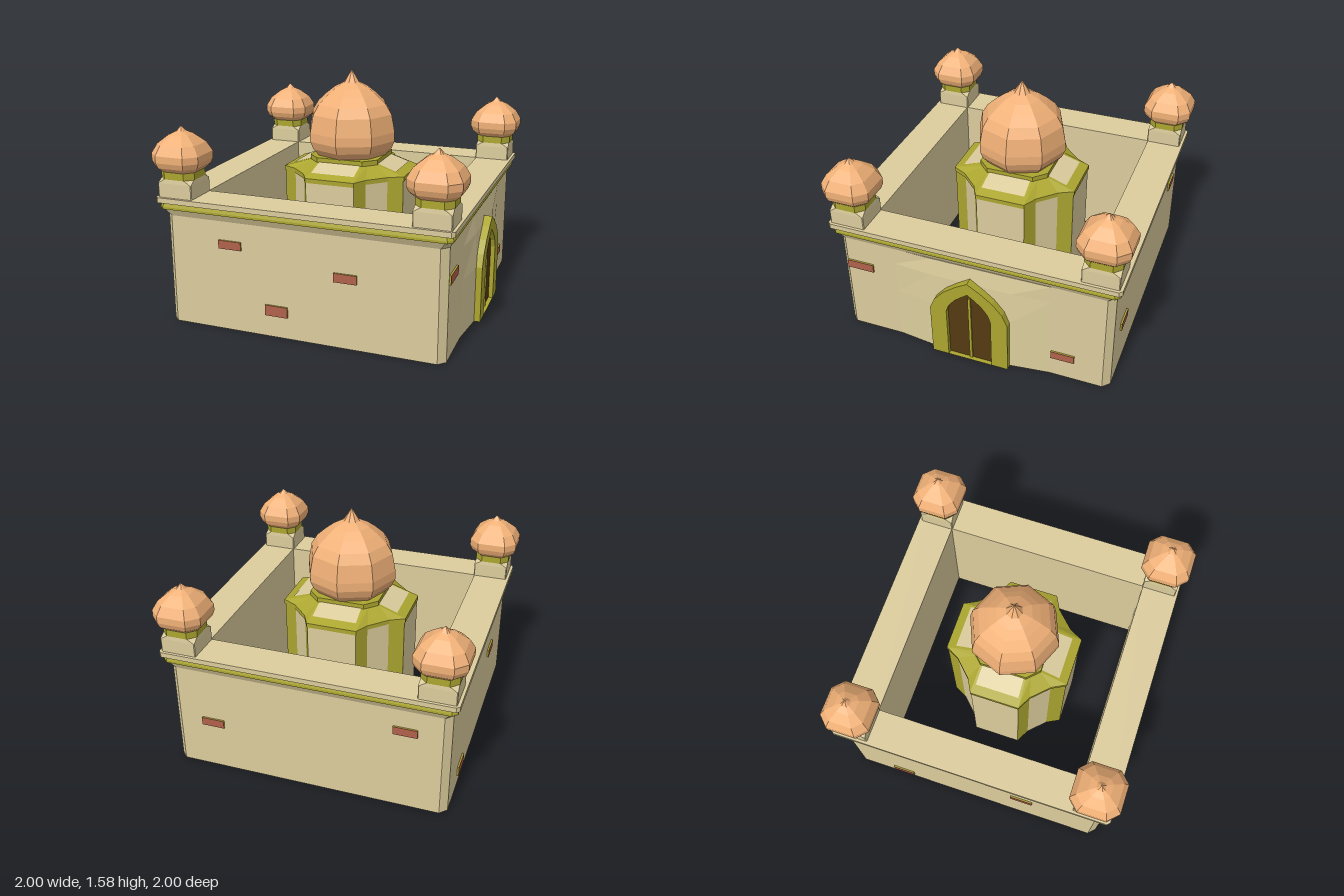
import * as THREE from 'three';

const mat = (color) => new THREE.MeshStandardMaterial({ color, flatShading: true });
const STONE = mat(0xdccd9d), GOLD = mat(0xaca630), DOME = mat(0xf0b077), RED = mat(0xb0614a), WOOD = mat(0x553a10);

// Four-fold symmetric ring: a quarter outline of [x, z] points, turned about y
function ring(quarter, y) {
  const pts = [];
  for (let q = 0; q < 4; q++) {
    for (const [px, pz] of quarter) {
      let x = px, z = pz;
      for (let k = 0; k < q; k++) [x, z] = [z, -x];
      pts.push([x, y, z]);
    }
  }
  return pts;
}

// Square ring of half-width h with its corners cut by c
const square = (h, c, y) => ring([[h - c, h], [h, h - c]], y);

// Skin between rings of equal point count; keep() picks the sides, caps close the ends
function loft(rings, { keep = () => true, top = false, bottom = false } = {}) {
  const pos = [], n = rings[0].length;
  const tri = (a, b, c) => pos.push(...a, ...b, ...c);
  for (let r = 0; r + 1 < rings.length; r++) {
    for (let i = 0; i < n; i++) {
      if (!keep(i)) continue;
      const j = (i + 1) % n, lo = rings[r], hi = rings[r + 1];
      tri(lo[i], lo[j], hi[j]);
      tri(lo[i], hi[j], hi[i]);
    }
  }
  const cap = (pts, up) => {
    const c = [0, 1, 2].map((k) => pts.reduce((s, p) => s + p[k], 0) / n);
    for (let i = 0; i < n; i++) {
      const a = pts[i], b = pts[(i + 1) % n];
      up ? tri(c, a, b) : tri(c, b, a);
    }
  };
  if (top) cap(rings[rings.length - 1], true);
  if (bottom) cap(rings[0], false);
  const g = new THREE.BufferGeometry();
  g.setAttribute('position', new THREE.Float32BufferAttribute(pos, 3));
  g.computeVertexNormals();
  return g;
}

function add(parent, name, geometry, material, x = 0, y = 0, z = 0) {
  const m = new THREE.Mesh(geometry, material);
  m.name = name;
  m.position.set(x, y, z);
  parent.add(m);
  return m;
}

function group(parent, name) {
  const g = new THREE.Group();
  g.name = name;
  parent.add(g);
  return g;
}

// Courtyard wall with flared moulding, gold band and parapet
function buildWalls(root) {
  const g = group(root, 'courtyardWall');
  add(g, 'wallOuter', loft([square(0.72, 0, 0), square(0.925, 0.045, 0),
    square(0.925, 0.045, 0.73), square(0.948, 0.035, 0.775)]), STONE);
  add(g, 'goldBand', loft([square(0.92, 0.03, 0.775), square(0.955, 0.03, 0.775),
    square(0.955, 0.03, 0.79), square(0.945, 0.03, 0.82)]), GOLD);
  add(g, 'parapetAndInnerWall', loft([square(0.93, 0.02, 0.818), square(0.97, 0.02, 0.818),
    square(0.97, 0.02, 0.852), square(0.72, 0, 0.852), square(0.72, 0, 0)]), STONE);
}

// Corner turret: square post, gold collar and bulbous cap
function buildTurret(root, x, z) {
  const g = group(root, 'cornerTurret');
  g.position.set(x, 0, z);
  add(g, 'turretPost', loft([square(0.118, 0.005, 0.85), square(0.118, 0.005, 0.945),
    square(0.115, 0.05, 0.975)], { top: true }), STONE);
  add(g, 'turretCollar', loft([square(0.118, 0.05, 0.972), square(0.118, 0.05, 1.02)], { top: true, bottom: true }), GOLD);
  const cap = [[0.12, 1.02], [0.152, 1.05], [0.165, 1.085], [0.165, 1.13], [0.132, 1.19],
    [0.07, 1.243], [0.028, 1.265], [0.004, 1.295]];
  add(g, 'turretDome', loft(cap.map(([h, y]) => square(h, h * 0.42, y)), { top: true, bottom: true }), DOME);
}

// Central cross-shaped tower with onion dome
function buildTower(root) {
  const g = group(root, 'centralTower');
  const plan = [[0.17, 0.43], [0.22, 0.335], [0.335, 0.22], [0.43, 0.17]];
  const neck = [[0.16, 0.24], [0.187, 0.213], [0.213, 0.187], [0.24, 0.16]];
  const inset = plan.map(([x, z]) => [x * 0.985, z * 0.985]);
  const isStrip = (i) => i % 4 === 0 || i % 4 === 2;
  const body = [ring(inset, 0), ring(inset, 0.885)];
  add(g, 'towerWalls', loft(body, { keep: (i) => !isStrip(i), bottom: true }), STONE);
  add(g, 'towerCornerStrips', loft(body, { keep: isStrip }), GOLD);
  add(g, 'towerCornice', loft([ring(inset, 0.88), ring(plan, 0.88), ring(plan, 0.91), ring(neck, 0.972)]), GOLD);

  // Pale panels lying on the roof slope of each arm
  const panelLow = ring([[-0.15, 0.368], [0.15, 0.368]], 0.934);
  const panelHigh = ring([[-0.145, 0.235], [0.145, 0.235]], 0.978);
  add(g, 'roofPanels', loft([panelLow, panelHigh], { keep: (i) => i % 2 === 0 }), STONE);

  add(g, 'domeCollar', loft([square(0.24, 0.08, 0.965), square(0.24, 0.08, 1.005)], { top: true }), GOLD);
  const profile = [[0, 1.0], [0.24, 1.0], [0.285, 1.05], [0.308, 1.105], [0.308, 1.165], [0.285, 1.285],
    [0.245, 1.35], [0.18, 1.41], [0.122, 1.455], [0.055, 1.49], [0.03, 1.53], [0, 1.575]];
  add(g, 'onionDome', new THREE.LatheGeometry(profile.map(([r, y]) => new THREE.Vector2(r, y)), 8), DOME);
}

// Pointed arch outline standing on the ground
function arch(Type, w, spring, tip) {
  const s = new Type();
  s.moveTo(-w, 0);
  s.lineTo(w, 0);
  s.lineTo(w, spring);
  const rise = [[0.87, 0.3], [0.62, 0.58], [0.3, 0.82]];
  const at = ([a, b]) => [w * a, spring + (tip - spring) * b];
  for (const p of rise) s.lineTo(...at(p));
  s.lineTo(0, tip);
  for (const p of [...rise].reverse()) { const [x, y] = at(p); s.lineTo(-x, y); }
  s.lineTo(-w, spring);
  s.closePath();
  return s;
}

// Gateway in the left wall
function buildGate(root) {
  const g = group(root, 'gateway');
  const pier = (y, x) => [[0.9, y, 0.56], [0.925, y, 0.53], [x, y, 0.27], [x, y, -0.27], [0.925, y, -0.53], [0.9, y, -0.56]];
  add(g, 'gatePier', loft([pier(0, 0.955), pier(0.38, 0.955), pier(0.61, 0.945), pier(0.73, 0.928)],
    { top: true, bottom: true }), STONE);
  const slab = (shape, depth) => new THREE.ExtrudeGeometry(shape, { depth, bevelEnabled: false }).rotateY(Math.PI / 2);
  const frame = arch(THREE.Shape, 0.265, 0.38, 0.65);
  frame.holes.push(arch(THREE.Path, 0.152, 0.38, 0.56));
  add(g, 'gateFrame', slab(frame, 0.068), GOLD, 0.927);
  add(g, 'gateDoors', slab(arch(THREE.Shape, 0.155, 0.38, 0.562), 0.035), WOOD, 0.93);
  add(g, 'doorSeam', new THREE.BoxGeometry(0.012, 0.51, 0.018), GOLD, 0.968, 0.255, 0);
}

// Exposed bricks: [turn about y, offset along the wall, height, width, brick height]
function buildBricks(root) {
  const H = Math.PI / 2;
  const bricks = [
    [0, -0.47, 0.58, 0.155, 0.055], [0, 0.3, 0.465, 0.15, 0.058], [0, -0.16, 0.18, 0.152, 0.07],
    [H, -0.785, 0.525, 0.185, 0.058], [H, 0.613, 0.175, 0.155, 0.055],
    [2 * H, -0.645, 0.35, 0.155, 0.055], [2 * H, 0.645, 0.58, 0.155, 0.055],
    [-H, -0.55, 0.11, 0.155, 0.068], [-H, 0.36, 0.465, 0.155, 0.058],
  ];
  for (const [turn, x, y, w, h] of bricks) {
    const g = group(root, 'exposedBrick');
    g.rotation.y = turn;
    add(g, 'brickEdge', new THREE.BoxGeometry(w, h, 0.03), GOLD, x, y, 0.919);
    add(g, 'brickFace', new THREE.BoxGeometry(w, h, 0.003), RED, x, y, 0.9355);
  }
}

export function createModel() {
  const root = new THREE.Group();
  root.name = 'domedFort';
  buildWalls(root);
  for (const x of [-0.833, 0.833]) for (const z of [-0.833, 0.833]) buildTurret(root, x, z);
  buildTower(root);
  buildGate(root);
  buildBricks(root);
  return root;
}
